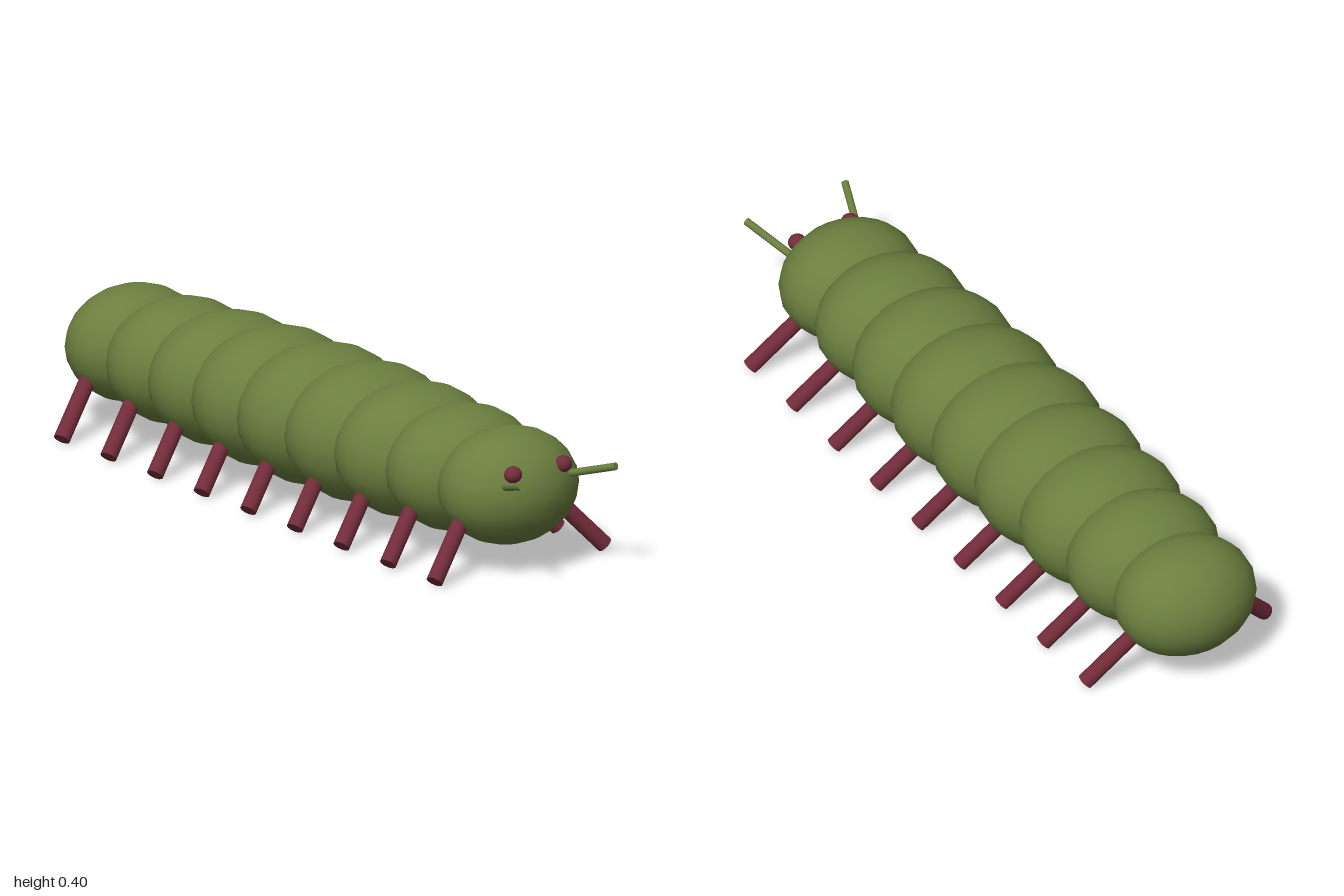
import * as THREE from 'three';

const green = new THREE.MeshStandardMaterial({ color: 0x6b7f3f });
const lightGreen = new THREE.MeshStandardMaterial({ color: 0x6b7f3f });
const red = new THREE.MeshStandardMaterial({ color: 0x732c3b });

const SEGMENTS = 9;
const SPACING = 0.197;
const HEAD_Z = 0.738;
const BODY_Y = 0.215;

// Closed cylinder running from point a to point b
function rod(name, a, b, radius, material, sides) {
  const from = new THREE.Vector3(...a);
  const to = new THREE.Vector3(...b);
  const dir = to.clone().sub(from);
  const mesh = new THREE.Mesh(new THREE.CylinderGeometry(radius, radius, dir.length(), sides), material);
  mesh.name = name;
  mesh.position.copy(from).add(to).multiplyScalar(0.5);
  mesh.quaternion.setFromUnitVectors(new THREE.Vector3(0, 1, 0), dir.normalize());
  return mesh;
}

function ellipsoid(name, pos, radii, material, w, h) {
  const mesh = new THREE.Mesh(new THREE.SphereGeometry(1, w, h), material);
  mesh.name = name;
  mesh.position.set(...pos);
  mesh.scale.set(...radii);
  return mesh;
}

export function createModel() {
  const model = new THREE.Group();
  model.name = 'caterpillar';

  for (let i = 0; i < SEGMENTS; i++) {
    const z = HEAD_Z - i * SPACING;

    // Body segments swell towards the middle
    const r = 0.152 + 0.031 * Math.sin((i / (SEGMENTS - 1)) * Math.PI);
    const name = i === 0 ? 'head' : `bodySegment${i}`;
    model.add(ellipsoid(name, [0, BODY_Y, z], [r * 1.262, r, r * 1.055], green, 24, 12));

    // A pair of splayed, forward-leaning legs per segment
    for (const s of [1, -1]) {
      model.add(rod(`${s > 0 ? 'left' : 'right'}Leg${i + 1}`,
        [s * 0.12, 0.184, z - 0.009], [s * 0.272, 0.017, z + 0.048], 0.022, red, 12));
    }
  }

  // Eyes and antennae on the head
  for (const s of [1, -1]) {
    const side = s > 0 ? 'left' : 'right';
    model.add(ellipsoid(`${side}Eye`, [s * 0.08, 0.286, 0.864], [0.024, 0.022, 0.022], red, 16, 12));
    model.add(rod(`${side}Antenna`, [s * 0.098, 0.253, 0.85], [s * 0.15, 0.298, 0.995], 0.01, lightGreen, 10));
  }
  return model;
}
